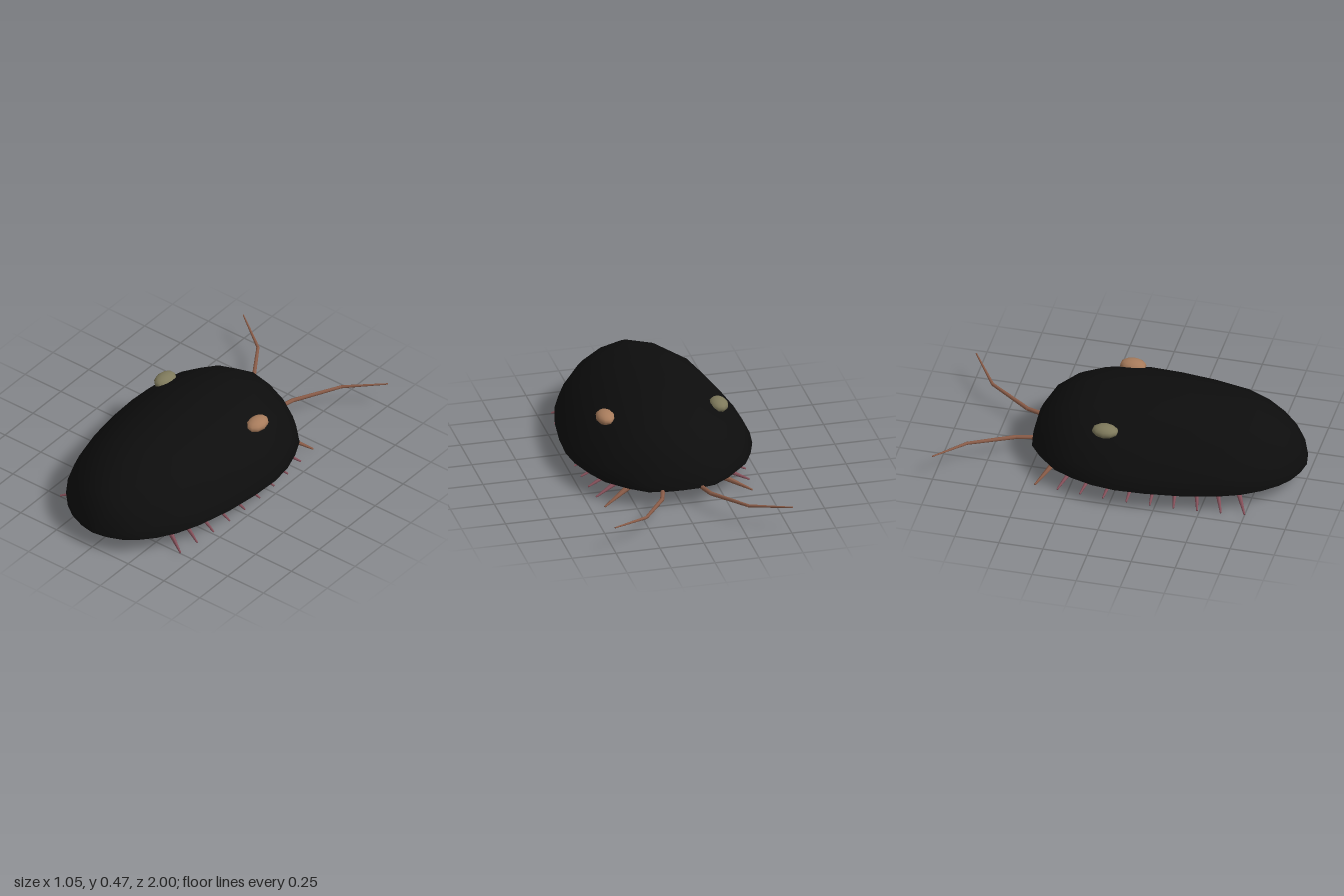
import * as THREE from 'three';

const mat = (name, color) => new THREE.MeshStandardMaterial({ name, color });

// Skin a row of equal-length cross-sections
function loft(rows) {
  const n = rows[0].length, index = [];
  for (let i = 0; i < rows.length - 1; i++)
    for (let j = 0; j < n - 1; j++) {
      const a = i * n + j, b = a + 1, c = a + n, d = c + 1;
      index.push(a, b, c, b, d, c);
    }
  const g = new THREE.BufferGeometry();
  g.setAttribute('position', new THREE.Float32BufferAttribute(rows.flat(2), 3));
  g.setIndex(index);
  g.computeVertexNormals();
  return g;
}

// Tapered rod from a to b
function rod(name, a, b, ra, rb, material) {
  const p = new THREE.Vector3(...a), q = new THREE.Vector3(...b);
  const dir = q.clone().sub(p);
  const m = new THREE.Mesh(new THREE.CylinderGeometry(rb, ra, dir.length(), 7), material);
  m.name = name;
  m.position.copy(p).add(q).multiplyScalar(0.5);
  m.quaternion.setFromUnitVectors(new THREE.Vector3(0, 1, 0), dir.normalize());
  return m;
}

export function createModel() {
  const model = new THREE.Group();
  model.name = 'beetle';
  const black = mat('shell black', 0x0d0d0d);
  const rose = mat('leg rose', 0x85505a);
  const brown = mat('antenna brown', 0x8a5c48);
  const tan = mat('left eye tan', 0xa87c5c);
  const olive = mat('right eye olive', 0x7f7a5c);

  // Shell: one arched cross-section scaled along the length; [z, half width, top]
  const half = [[0.95, 0], [1, 0.053], [0.92, 0.28], [0.706, 0.627], [0.382, 0.88]];
  const arch = [...half, [0, 1], ...half.slice().reverse().map(([x, y]) => [-x, y])];
  const stations = [
    [-0.534, 0, 0.1], [-0.53, 0.1, 0.14], [-0.51, 0.2, 0.22], [-0.44, 0.3, 0.34],
    [-0.33, 0.41, 0.42], [-0.22, 0.465, 0.455], [-0.1, 0.505, 0.468], [0.03, 0.523, 0.475],
    [0.2, 0.516, 0.473], [0.4, 0.49, 0.466], [0.6, 0.44, 0.455], [0.72, 0.39, 0.42],
    [0.82, 0.325, 0.37], [0.9, 0.25, 0.31], [0.95, 0.18, 0.25], [0.985, 0.09, 0.17], [1, 0, 0.1],
  ];
  const shell = new THREE.Mesh(loft(stations.map(([z, w, top]) =>
    arch.map(([x, y]) => [x * w, 0.1 + y * (top - 0.1), z]))), black);
  shell.name = 'shell';
  const belly = new THREE.Mesh(loft(stations.map(([z, w]) =>
    [[-0.95 * w, 0.1, z], [0.95 * w, 0.1, z]])), black);
  belly.name = 'belly';
  model.add(shell, belly);

  for (const s of [1, -1]) {
    const side = s > 0 ? 'left' : 'right';

    // Eyes
    const eye = new THREE.Mesh(new THREE.SphereGeometry(1, 10, 8), s > 0 ? tan : olive);
    eye.name = side + 'Eye';
    eye.scale.set(0.053, 0.037, 0.075);
    eye.position.set(s * 0.322, 0.365, -0.065);
    model.add(eye);

    // Ten fanned legs, the rearmost pair brown
    for (let i = 0; i < 10; i++) {
      const angle = 0.475 * (1 - i / 4.5), hipZ = 0.585 - 0.0956 * i;
      const at = (r, y) => [s * (0.1 + r * Math.cos(angle)), y, hipZ + r * Math.sin(angle)];
      const leg = new THREE.Group();
      leg.name = side + 'Leg' + (i + 1);
      const m = i === 9 ? brown : rose;
      leg.add(rod('thigh', at(0, 0.107), at(0.15, 0.086), 0.018, 0.019, m));
      leg.add(rod('shin', at(0.14, 0.088), at(0.36, 0.006), 0.021, 0.005, m));
      model.add(leg);
    }

    // Antennae
    const path = [[0.09, 0.098, -0.44], [0.14, 0.104, -0.62], [0.29, 0.125, -0.855], [0.505, 0.159, -1]];
    const radii = [0.014, 0.012, 0.009, 0.004];
    const antenna = new THREE.Group();
    antenna.name = side + 'Antenna';
    for (let i = 0; i < 3; i++) {
      const [a, b] = [path[i], path[i + 1]].map(([x, y, z]) => [s * x, y, z]);
      antenna.add(rod('antennaSegment', a, b, radii[i], radii[i + 1], brown));
    }
    model.add(antenna);
  }
  return model;
}
